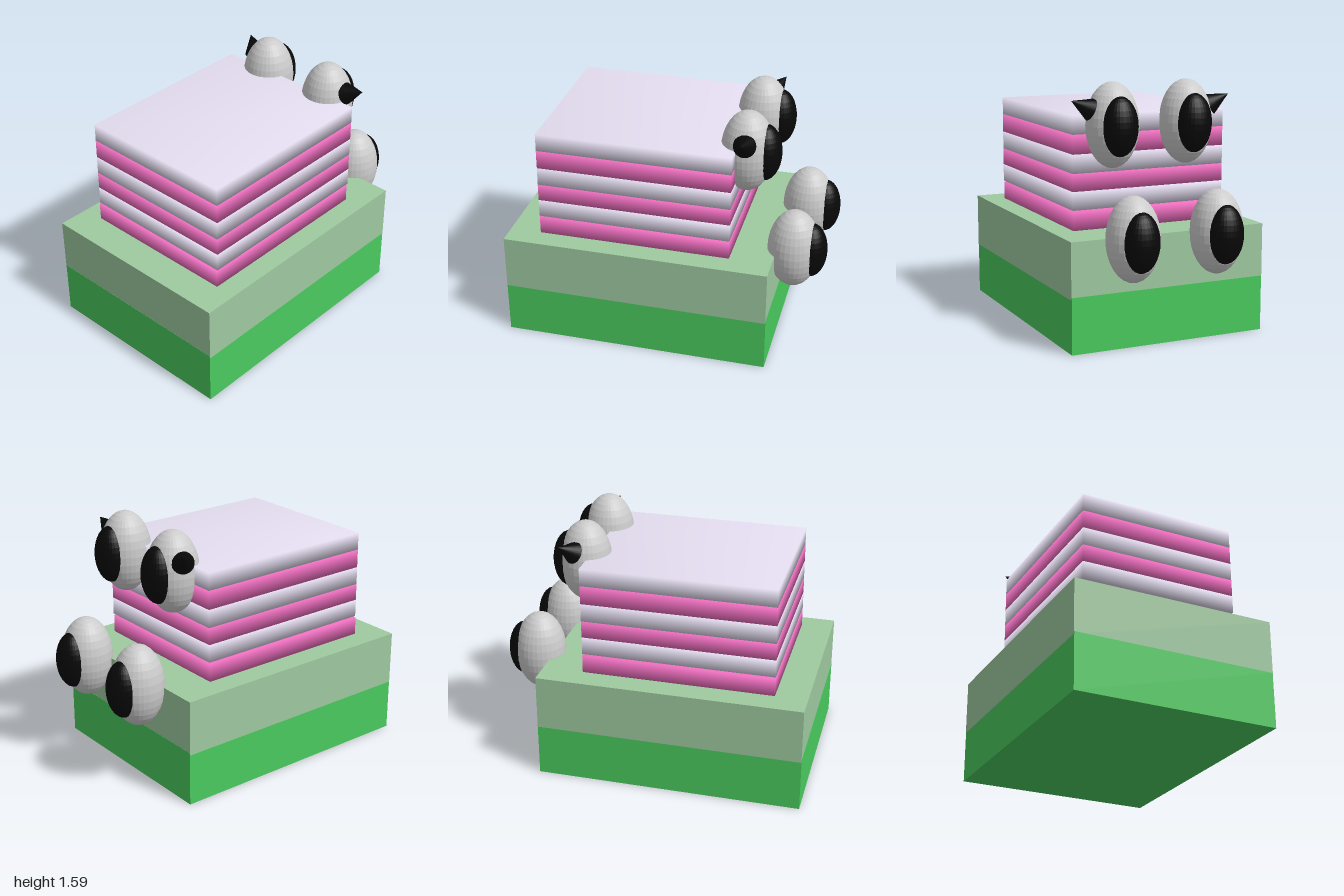
import * as THREE from 'three';
import { mergeVertices } from 'three/addons/utils/BufferGeometryUtils.js';

const mat = (color, flatShading = false) => new THREE.MeshStandardMaterial({ color, flatShading });

function add(parent, name, geometry, material, x, y, z) {
  const mesh = new THREE.Mesh(geometry, material);
  mesh.name = name;
  mesh.position.set(x, y, z);
  parent.add(mesh);
  return mesh;
}

// Box whose eight corners share averaged normals, for a pillowy shading
function softBox(w, h, d) {
  const box = new THREE.BoxGeometry(w, h, d);
  box.deleteAttribute('uv');
  box.deleteAttribute('normal');
  const merged = mergeVertices(box);
  merged.computeVertexNormals();
  return merged;
}

export function createModel() {
  const model = new THREE.Group();
  model.name = 'layeredBlock';

  const black = mat(0x080808, true);
  const grey = mat(0xcccccc, true);
  const pink = mat(0xf472c4);
  const lavender = mat(0xe6dff2);

  // Two-tone base
  add(model, 'lowerBase', new THREE.BoxGeometry(1.294, 0.35, 1.69), mat(0x4acb5f), 0, 0.175, 0.155);
  add(model, 'upperBase', new THREE.BoxGeometry(1.298, 0.35, 1.688), mat(0x9fcaa0), 0, 0.51, 0.155);

  // Stack of alternating slabs: bottom and top heights
  const slabs = [[0.69, 0.805], [0.815, 0.928], [0.93, 1.04], [1.04, 1.157], [1.157, 1.275], [1.277, 1.39]];
  slabs.forEach(([y0, y1], i) => {
    add(model, `slab${i + 1}`, softBox(1.025, y1 - y0, 1.222), i % 2 ? lavender : pink,
      i ? 0.012 : 0.008, (y0 + y1) / 2, 0.186 - i * 0.001);
  });

  // Egg-shaped eyes with backward-facing pupils
  const sphere = new THREE.SphereGeometry(1, 32, 16);
  const eyes = [
    ['upperRightEye', -0.21, 1.33, -0.477],
    ['upperLeftEye', 0.286, 1.33, -0.477],
    ['lowerRightEye', -0.265, 0.69, -0.788],
    ['lowerLeftEye', 0.295, 0.69, -0.788],
  ];
  for (const [name, x, y, z] of eyes) {
    const eye = new THREE.Group();
    eye.name = name;
    eye.position.set(x, y, z);
    add(eye, 'eyeball', sphere, grey, 0, 0, 0).scale.set(0.164, 0.261, 0.164);
    add(eye, 'pupil', sphere, black, 0, 0, -0.108).scale.set(0.114, 0.182, 0.102);
    model.add(eye);
  }

  // Spikes on the outer sides of the upper eyes, from base centre to tip
  const spikes = [
    ['leftSpike', new THREE.Vector3(0.43, 1.43, -0.485), new THREE.Vector3(0.556, 1.486, -0.485)],
    ['rightSpike', new THREE.Vector3(-0.355, 1.43, -0.51), new THREE.Vector3(-0.455, 1.496, -0.572)],
  ];
  for (const [name, base, tip] of spikes) {
    const axis = tip.clone().sub(base);
    const mid = base.clone().lerp(tip, 0.5);
    const spike = add(model, name, new THREE.ConeGeometry(0.07, axis.length(), 32), black, mid.x, mid.y, mid.z);
    spike.quaternion.setFromUnitVectors(new THREE.Vector3(0, 1, 0), axis.normalize());
  }

  return model;
}
